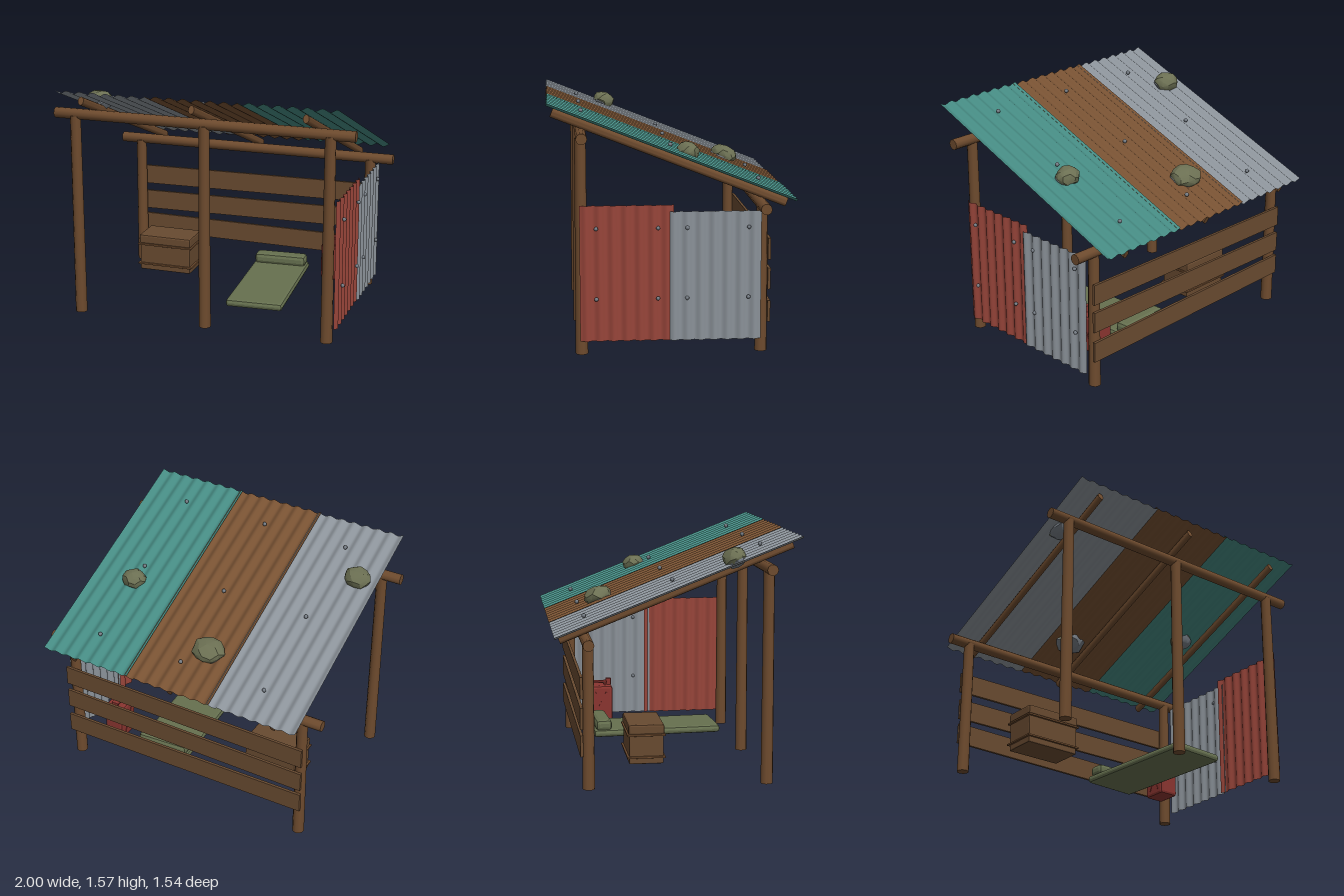
import * as THREE from 'three';
import { toCreasedNormals } from 'three/addons/utils/BufferGeometryUtils.js';
import { RoundedBoxGeometry } from 'three/addons/geometries/RoundedBoxGeometry.js';

const mat = (name, color, side = THREE.FrontSide) => {
  const m = new THREE.MeshStandardMaterial({ color, side });
  m.name = name;
  return m;
};

export function createModel() {
  const wood = mat('wood', 0x6e4b2e);
  const plank = mat('plank wood', 0x684a30);
  const grey = mat('grey metal', 0x8b9299, THREE.DoubleSide);
  const rust = mat('rusty brown metal', 0x775132, THREE.DoubleSide);
  const teal = mat('teal metal', 0x458a82, THREE.DoubleSide);
  const red = mat('red metal', 0x98453a, THREE.DoubleSide);
  const canvas = mat('olive canvas', 0x66704f);
  const stone = mat('mossy stone', 0x6c7053);
  const canRed = mat('can red', 0x8a3530);
  const bolt = mat('bolt steel', 0x767d85);

  const model = new THREE.Group();
  model.name = 'leanToShelter';

  const add = (parent, name, geometry, material, x = 0, y = 0, z = 0) => {
    const mesh = new THREE.Mesh(geometry, material);
    mesh.name = name;
    mesh.position.set(x, y, z);
    parent.add(mesh);
    return mesh;
  };
  const group = (name, x, y, z) => {
    const g = new THREE.Group();
    g.name = name;
    g.position.set(x, y, z);
    model.add(g);
    return g;
  };
  const log = (r0, r1, len) => toCreasedNormals(new THREE.CylinderGeometry(r1, r0, len, 10), 0.9);
  const chamferBox = (w, h, d, r) => toCreasedNormals(new RoundedBoxGeometry(w, h, d, 1, r), 0.3);

  // Corrugated sheet lying in the xz plane, ridges running along z
  const sheet = (w, len, waves = 7, amp = 0.01) => {
    const g = new THREE.PlaneGeometry(w, len, waves * 8, 1).rotateX(-Math.PI / 2);
    const p = g.attributes.position;
    for (let i = 0; i < p.count; i++) {
      p.setY(i, amp * Math.cos((p.getX(i) / w + 0.5) * waves * Math.PI * 2));
    }
    g.computeVertexNormals();
    return g;
  };

  // Posts and cross beams
  for (const x of [-0.86, 0.02, 0.84]) {
    add(model, 'frontPost', log(0.039, 0.035, 1.35), wood, x, 0.675, 0.56);
  }
  for (const x of [-0.86, 0.84]) {
    add(model, 'backPost', log(0.039, 0.035, 0.91), wood, x, 0.455, -0.56);
  }
  add(model, 'frontBeam', log(0.035, 0.035, 2), wood, 0, 1.36, 0.555).rotation.z = Math.PI / 2;
  add(model, 'backBeam', log(0.035, 0.035, 2), wood, 0, 0.92, -0.565).rotation.z = Math.PI / 2;

  // Sloping roof: rafters, three sheets, bolts and weighing stones
  const roof = group('roof', 0, 1.253, 0);
  roof.rotation.x = -0.374;
  for (const x of [-0.74, 0, 0.73]) {
    const rafter = add(roof, 'rafter', log(0.028, 0.028, 1.57), wood, x, -0.045, -0.016);
    rafter.rotation.x = Math.PI / 2;
    rafter.scale.x = 0.7;
  }
  const roofSheets = [
    ['greyRoofSheet', -0.6, 0.62, grey],
    ['brownRoofSheet', 0, 0.62, rust],
    ['tealRoofSheet', 0.61, 0.64, teal],
  ];
  roofSheets.forEach(([name, x, w, material], i) => {
    add(roof, name, sheet(w, 1.643), material, x, -0.004 + i * 0.006, 0);
    for (const z of [-0.6, 0, 0.6]) {
      add(roof, 'roofBolt', new THREE.SphereGeometry(0.014, 8, 6), bolt, x + 0.01, 0.012 + i * 0.006, z);
    }
  });

  const rock = (seed) => {
    const g = new THREE.IcosahedronGeometry(1, 1);
    const p = g.attributes.position;
    const v = new THREE.Vector3();
    for (let i = 0; i < p.count; i++) {
      v.fromBufferAttribute(p, i);
      v.multiplyScalar(0.98 + 0.07 * Math.sin(v.x * 5 + seed) * Math.cos(v.z * 4 + v.y * 3 + seed));
      p.setXYZ(i, v.x, v.y, v.z);
    }
    return toCreasedNormals(g, 0.45);
  };
  const stones = [[-0.12, -0.46, 0.115, 0.095], [0.635, -0.12, 0.087, 0.073], [-0.775, 0.39, 0.092, 0.077]];
  stones.forEach(([x, z, rx, rz], i) => {
    add(roof, 'roofStone', rock(i * 2), stone, x, 0.025, z).scale.set(rx, 0.062, rz);
    add(roof, 'stoneUnderside', rock(i * 2), bolt, x, 0.008, z + 0.004).scale.set(rx * 0.95, 0.055, rz * 0.95);
  });

  // Side wall on the left: two upright corrugated sheets with bolts
  const wallSheet = (name, x, z, h, material) => {
    const s = add(model, name, sheet(0.58, h), material, x, 0.09 + h / 2, z);
    s.rotation.set(Math.PI / 2, 0, -Math.PI / 2, 'ZYX');
    s.geometry.rotateX(-Math.PI / 2).rotateY(Math.PI / 2).rotateZ(0);
    s.rotation.set(0, 0, 0);
    s.geometry.computeVertexNormals();
  };
  wallSheet('redWallSheet', 0.897, 0.28, 0.85, red);
  wallSheet('greyWallSheet', 0.906, -0.26, 0.81, grey);
  for (const z of [0.47, 0.09, -0.09, -0.47]) {
    for (const y of [0.8, 0.36]) {
      add(model, 'wallBolt', new THREE.SphereGeometry(0.013, 8, 6), bolt, 0.916, y, z);
    }
  }

  // Back rail planks, each slightly crooked
  for (const [y, h, tilt] of [[0.647, 0.135, 0.008], [0.457, 0.135, 0.009], [0.267, 0.135, -0.011]]) {
    add(model, 'backPlank', new THREE.BoxGeometry(1.77, h, 0.018), plank, 0, y, -0.603).rotation.z = tilt;
  }

  // Wooden crate with two bands
  const crate = group('crate', -0.5, 0.1, -0.18);
  add(crate, 'crateBody', chamferBox(0.37, 0.2, 0.22, 0.008), plank, 0, 0.1, 0);
  add(crate, 'crateLid', chamferBox(0.38, 0.065, 0.23, 0.012), plank, 0, 0.223, 0);
  for (const y of [0.045, 0.188]) {
    add(crate, 'crateBand', chamferBox(0.395, 0.013, 0.245, 0.004), wood, 0, y, 0);
  }

  // Sleeping mat with a rolled pillow at the back end
  const bed = group('bedroll', 0.28, 0.1, -0.02);
  bed.rotation.y = 0.06;
  add(bed, 'mat', chamferBox(0.38, 0.05, 0.88, 0.02), canvas, 0, 0.025, 0);
  add(bed, 'pillow', chamferBox(0.36, 0.075, 0.11, 0.025), canvas, 0, 0.078, -0.37);

  // Fuel can: chamfered body, handle and cap
  const can = group('fuelCan', 0.643, 0.1, -0.36);
  add(can, 'canBody', chamferBox(0.138, 0.255, 0.17, 0.018), canRed, 0, 0.1275, 0);
  add(can, 'canHandle', chamferBox(0.05, 0.014, 0.11, 0.005), canRed, -0.005, 0.278, -0.01);
  for (const z of [-0.055, 0.035]) {
    add(can, 'handleLeg', new THREE.BoxGeometry(0.04, 0.03, 0.014), canRed, -0.005, 0.265, z);
  }
  add(can, 'canCap', log(0.02, 0.02, 0.045), canRed, 0.012, 0.275, 0.06);
  for (const s of [-1, 1]) {
    for (const tilt of [-0.45, 0.45]) {
      add(can, 'canRib', new THREE.BoxGeometry(0.008, 0.19, 0.01), canRed, s * 0.069, 0.125, 0).rotation.x = tilt;
    }
  }

  return model;
}
